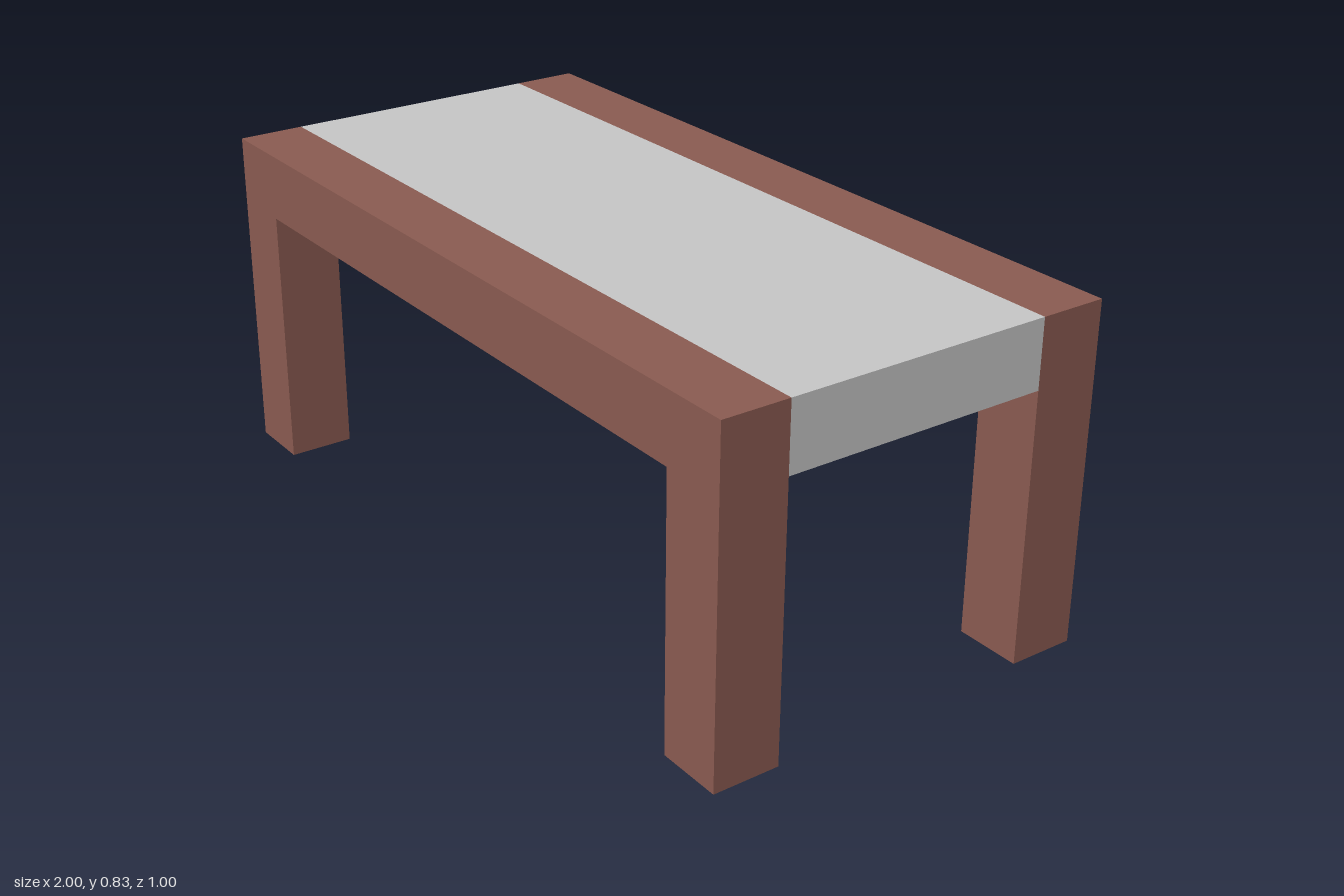
import * as THREE from 'three';

const LENGTH = 2, WIDTH = 1, HEIGHT = 0.8333, BEAM = 0.1667;

export function createModel() {
  const brown = new THREE.MeshStandardMaterial({ color: 0x8c5c52 });
  brown.name = 'brown wood';
  const grey = new THREE.MeshStandardMaterial({ color: 0xc8c8c8 });
  grey.name = 'light grey';

  const table = new THREE.Group();
  table.name = 'table';

  // Arch outline: two legs joined by a rail, in one piece
  const outer = LENGTH / 2, inner = outer - BEAM, under = HEIGHT - BEAM;
  const outline = new THREE.Shape([
    [-outer, 0], [-inner, 0], [-inner, under], [inner, under],
    [inner, 0], [outer, 0], [outer, HEIGHT], [-outer, HEIGHT],
  ].map(([x, y]) => new THREE.Vector2(x, y)));
  const frameGeometry = new THREE.ExtrudeGeometry(outline, { depth: BEAM, bevelEnabled: false });
  frameGeometry.translate(0, 0, -BEAM / 2);

  // Front and back leg frames
  for (const [name, side] of [['frontFrame', 1], ['backFrame', -1]]) {
    const frame = new THREE.Mesh(frameGeometry, brown);
    frame.name = name;
    frame.position.z = side * (WIDTH - BEAM) / 2;
    table.add(frame);
  }

  // Slab filling the top between the frames
  const slab = new THREE.Mesh(new THREE.BoxGeometry(LENGTH, BEAM, WIDTH - 2 * BEAM), grey);
  slab.name = 'topSlab';
  slab.position.y = HEIGHT - BEAM / 2;
  table.add(slab);

  return table;
}
